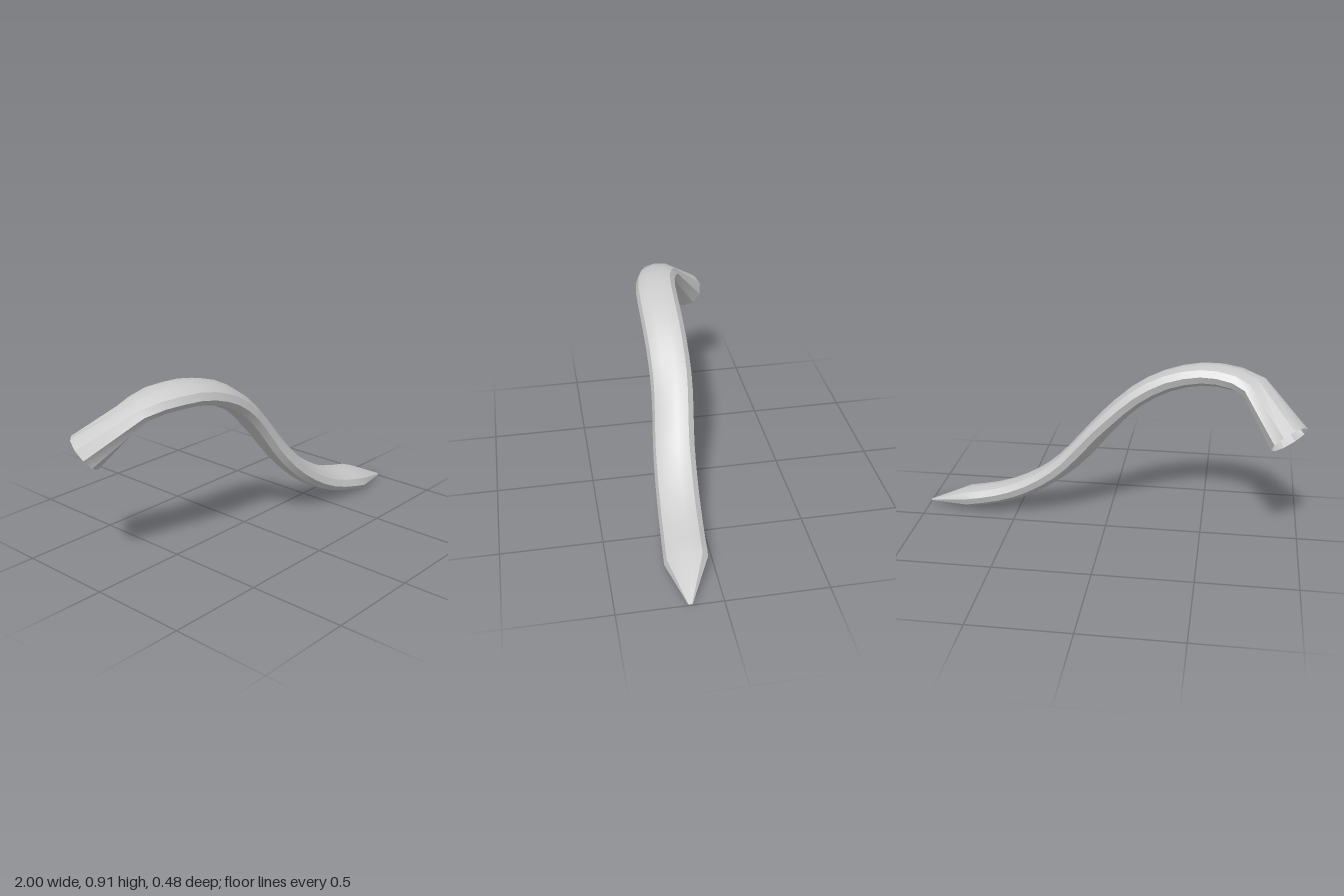
import * as THREE from 'three';
import { toCreasedNormals } from 'three/addons/utils/BufferGeometryUtils.js';

const SIDES = 10;
const v = (x, y, z) => new THREE.Vector3(x, y, z);

// Skin a list of sections { p: centre, a: half width, b: half thickness, roll }
function loft(sections) {
  const positions = [], index = [];
  const n = sections.length;
  sections.forEach(({ p, a, b, roll }, i) => {
    // tangent bisects the neighbouring segments
    const t = v(0, 0, 0);
    if (i > 0) t.add(p.clone().sub(sections[i - 1].p).normalize());
    if (i < n - 1) t.add(sections[i + 1].p.clone().sub(p).normalize());
    t.normalize();
    const side = t.clone().cross(v(0, 1, 0)).normalize().applyAxisAngle(t, roll);
    const up = side.clone().cross(t);
    for (let j = 0; j < SIDES; j++) {
      const k = (j / SIDES) * Math.PI * 2;
      const q = p.clone().addScaledVector(side, a * Math.cos(k)).addScaledVector(up, b * Math.sin(k));
      positions.push(q.x, q.y, q.z);
      if (i === n - 1) continue;
      const c = i * SIDES + j, d = i * SIDES + (j + 1) % SIDES;
      index.push(c, c + SIDES, d, d, c + SIDES, d + SIDES);
    }
  });
  const geometry = new THREE.BufferGeometry();
  geometry.setAttribute('position', new THREE.Float32BufferAttribute(positions, 3));
  geometry.setIndex(index);
  return toCreasedNormals(geometry, 0.6);
}

export function createModel() {
  const group = new THREE.Group();
  group.name = 'tail';

  // Centre line of the curved body, from the bend to the base of the point
  const path = new THREE.CatmullRomCurve3([
    v(-0.735, 0.826, 0.015), v(-0.66, 0.85, 0.04), v(-0.57, 0.859, 0.065),
    v(-0.46, 0.854, 0.078), v(-0.3, 0.81, 0.08), v(-0.15, 0.723, 0.076),
    v(0, 0.577, 0.074), v(0.1, 0.455, 0.084), v(0.2, 0.34, 0.098),
    v(0.3, 0.253, 0.107), v(0.45, 0.16, 0.117), v(0.6, 0.102, 0.126),
    v(0.768, 0.064, 0.136),
  ]);

  // Round open root, flattened body, then the point
  const sections = [{ p: v(-0.915, 0.625, -0.153), a: 0.107, b: 0.097, roll: 0 }];
  const steps = 20;
  for (let i = 0; i <= steps; i++) {
    const roll = 0.1 + 0.12 * Math.min(1, i / 5);
    sections.push({ p: path.getPointAt(i / steps), a: 0.106, b: 0.056, roll });
  }
  sections.push({ p: v(0.998, 0.01, 0.157), a: 0.011, b: 0.006, roll: 0.22 });

  const material = new THREE.MeshStandardMaterial({ color: 0xcccccc, side: THREE.DoubleSide });
  const body = new THREE.Mesh(loft(sections), material);
  body.name = 'tailBody';
  group.add(body);
  return group;
}
